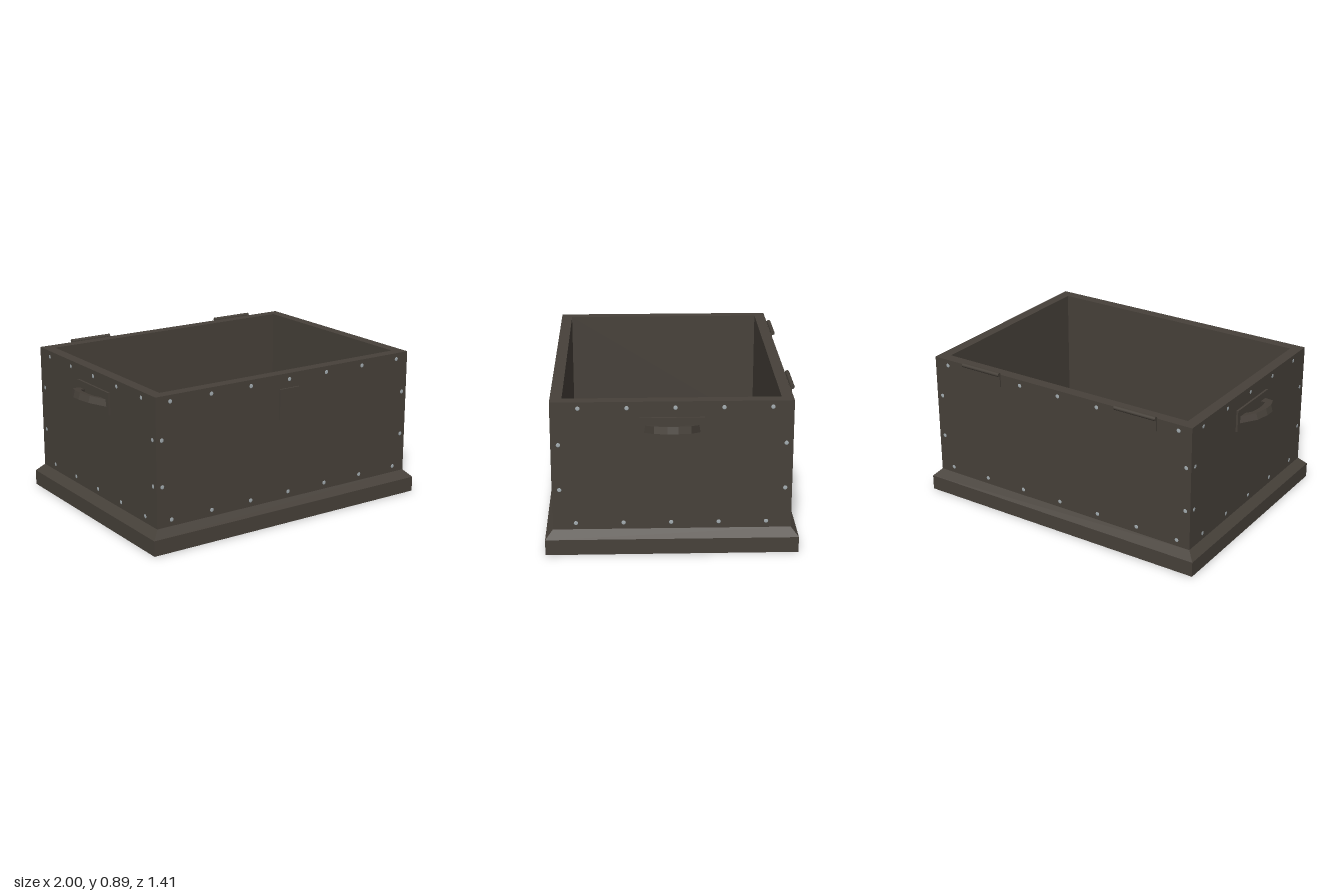
import * as THREE from 'three';

const W = 0.88, D = 0.662, H = 0.88;      // chest half width, half depth, height
const BW = 0.925, BD = 0.704, BH = 0.09;  // plinth half width, half depth, height
const CH = 0.135;                         // top of the plinth chamfer, level with the floor

export function createModel() {
  const iron = new THREE.MeshStandardMaterial({ color: 0x47413a });
  iron.name = 'dark iron';
  const steel = new THREE.MeshStandardMaterial({ color: 0xa4adb1 });
  steel.name = 'rivet steel';

  const model = new THREE.Group();
  model.name = 'openChest';

  function add(name, geometry, material, parent = model) {
    const mesh = new THREE.Mesh(geometry, material);
    mesh.name = name;
    parent.add(mesh);
    return mesh;
  }
  function box(name, w, h, d, x, y, z, parent) {
    const mesh = add(name, new THREE.BoxGeometry(w, h, d), iron, parent);
    mesh.position.set(x, y, z);
    return mesh;
  }
  const rect = (Type, w, d) => new Type([[-w, -d], [w, -d], [w, d], [-w, d]].map(p => new THREE.Vector2(...p)));

  // Four walls with an open top
  const outline = rect(THREE.Shape, W, D);
  outline.holes.push(rect(THREE.Path, 0.815, 0.597));
  const walls = new THREE.ExtrudeGeometry(outline, { depth: H - CH, bevelEnabled: false });
  walls.rotateX(-Math.PI / 2).translate(0, CH, 0);
  add('walls', walls, iron);

  // Plinth and the chest floor above it
  box('plinth', BW * 2, BH, BD * 2, 0, BH / 2, 0);
  box('floor', W * 2 - 0.01, CH - BH, D * 2 - 0.01, 0, (CH + BH) / 2, 0);

  // Sloped band between the plinth and the walls
  const slope = new THREE.CylinderGeometry(1, 1, 1, 4, 1, true).rotateY(Math.PI / 4).toNonIndexed();
  const pos = slope.attributes.position;
  for (let i = 0; i < pos.count; i++) {
    const top = pos.getY(i) > 0;
    pos.setXYZ(i, Math.sign(pos.getX(i)) * (top ? W : BW), top ? CH : BH, Math.sign(pos.getZ(i)) * (top ? D : BD));
  }
  slope.computeVertexNormals();
  add('plinthChamfer', slope, iron);

  // Lock plate
  box('lockPlate', 0.134, 0.18, 0.014, 0, 0.705, D + 0.004);

  // Hinges: a leaf on the back wall and a knuckle at the rim
  for (const side of [-1, 1]) {
    const hinge = new THREE.Group();
    hinge.name = side > 0 ? 'leftHinge' : 'rightHinge';
    hinge.position.x = side * 0.528;
    model.add(hinge);
    box('hingeLeaf', 0.265, 0.076, 0.012, 0, 0.843, -D - 0.003, hinge);
    const knuckle = new THREE.CylinderGeometry(0.0125, 0.0125, 0.265, 10).rotateZ(Math.PI / 2);
    add('hingeKnuckle', knuckle, iron, hinge).position.set(0, 0.882, -D - 0.012);
  }

  // Carrying handles: a faceted bow tilted upwards from a plate
  const half = [[0, 0.155], [0.09, 0.1], [0.115, 0.03]];
  const inner = [[0.062, 0.03], [0.05, 0.075], [0, 0.1]];
  const flip = points => points.map(([u, z]) => [u, -z]).reverse();
  const bow = new THREE.Shape([...half, ...flip(half), ...flip(inner), ...inner]
    .map(p => new THREE.Vector2(...p)));
  const handleGeometry = new THREE.ExtrudeGeometry(bow, { depth: 0.04, bevelEnabled: false });
  handleGeometry.translate(0, 0, -0.02).rotateX(-Math.PI / 2).rotateZ(0.27);
  for (const side of [-1, 1]) {
    const handle = new THREE.Group();
    handle.name = side > 0 ? 'leftHandle' : 'rightHandle';
    handle.rotation.y = side > 0 ? 0 : Math.PI;
    model.add(handle);
    box('handlePlate', 0.016, 0.13, 0.354, W + 0.004, 0.726, 0, handle);
    add('handleBow', handleGeometry, iron, handle).position.set(0.884, 0.725, 0);
  }

  // Rivets: nearly flush domes, laid out in each wall's own plane, then turned into place
  const rivet = new THREE.SphereGeometry(0.0125, 10, 6).rotateX(Math.PI / 2).scale(1, 1, 0.1);
  function rivetWall(name, angle, distance, columns, edge, shiftTop, shiftBottom) {
    const wall = new THREE.Group();
    wall.name = name;
    wall.rotation.y = angle;
    model.add(wall);
    const put = (x, y) => add('rivet', rivet, steel, wall).position.set(x, y, distance);
    for (let i = 0; i < columns; i++) {
      const x = (i - (columns - 1) / 2) * 0.264;
      put(x + shiftTop, 0.844);
      put(x + shiftBottom, 0.172);
    }
    for (const x of [-edge, edge]) for (const y of [0.635, 0.371]) put(x + 0.002, y);
  }
  rivetWall('frontRivets', 0, D, 7, 0.846, 0.004, 0.005);
  rivetWall('backRivets', Math.PI, D, 7, 0.846, 0.004, 0.005);
  rivetWall('leftRivets', Math.PI / 2, W, 5, 0.622, 0.018, -0.005);
  rivetWall('rightRivets', -Math.PI / 2, W, 5, 0.622, -0.014, 0.009);

  return model;
}
